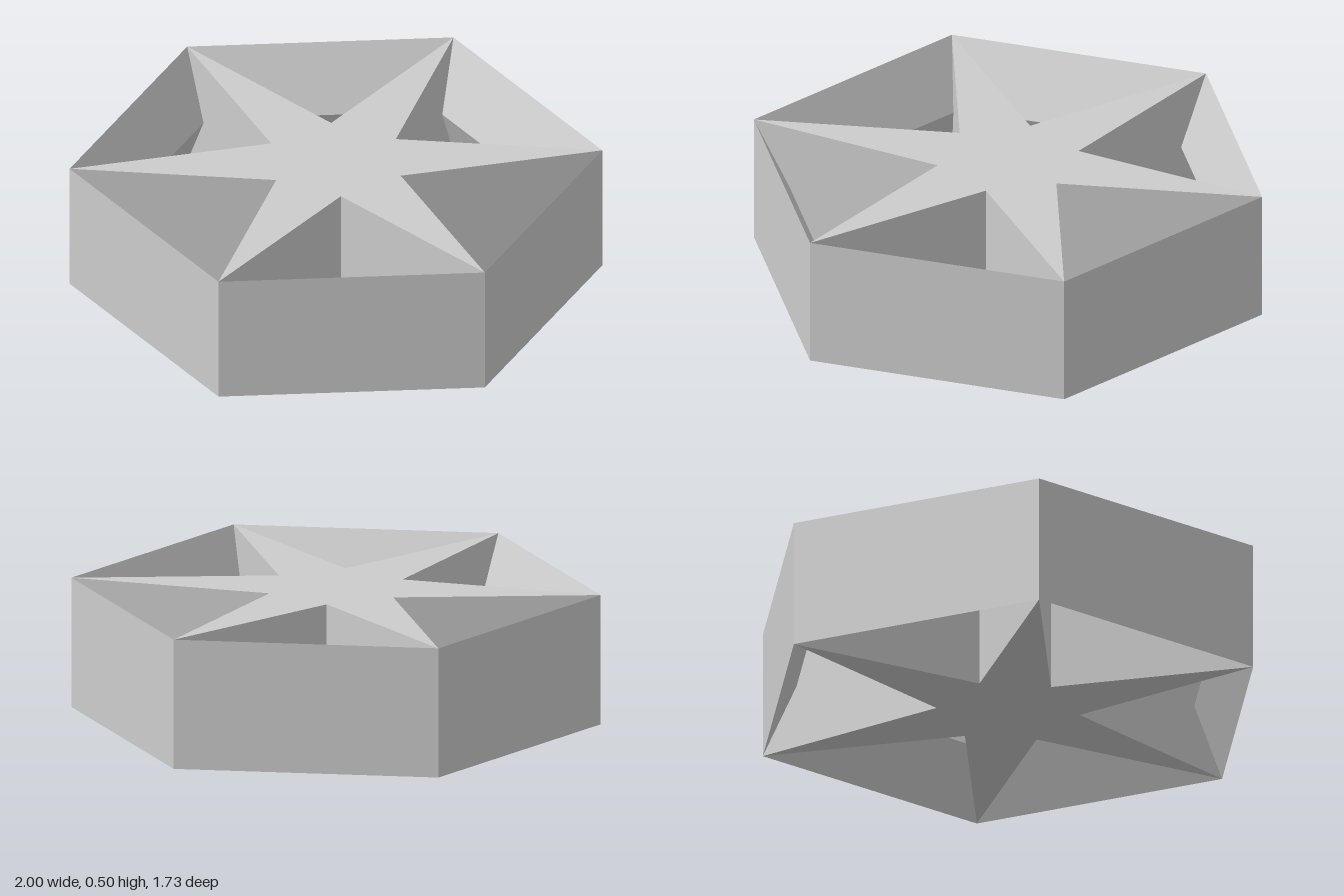
import * as THREE from 'three';

const HEIGHT = 0.5;

export function createModel() {
  const group = new THREE.Group();
  group.name = 'hexagonalStarBlock';

  const grey = new THREE.MeshStandardMaterial({ color: 0xcccccc, flatShading: true });
  grey.name = 'light grey';

  // Hexagonal rim: vertical outside, inside sloping to a ridge at mid-height
  const profile = [[1, 0], [1, HEIGHT], [0.866, HEIGHT / 2], [1, 0]]
    .map(([r, y]) => new THREE.Vector2(r, y));
  const rim = new THREE.Mesh(new THREE.LatheGeometry(profile, 6, Math.PI / 2), grey);
  rim.name = 'hexagonalRim';
  group.add(rim);

  // Six-pointed star prism, its tips meeting the rim's corners
  const points = [];
  for (let i = 0; i < 12; i++) {
    const radius = i % 2 === 0 ? 1 : 0.27;
    const angle = (i * Math.PI) / 6;
    points.push(new THREE.Vector2(radius * Math.cos(angle), radius * Math.sin(angle)));
  }
  const starGeometry = new THREE.ExtrudeGeometry(new THREE.Shape(points), {
    depth: HEIGHT,
    bevelEnabled: false,
  });
  starGeometry.rotateX(-Math.PI / 2);
  const star = new THREE.Mesh(starGeometry, grey);
  star.name = 'star';
  group.add(star);

  return group;
}
